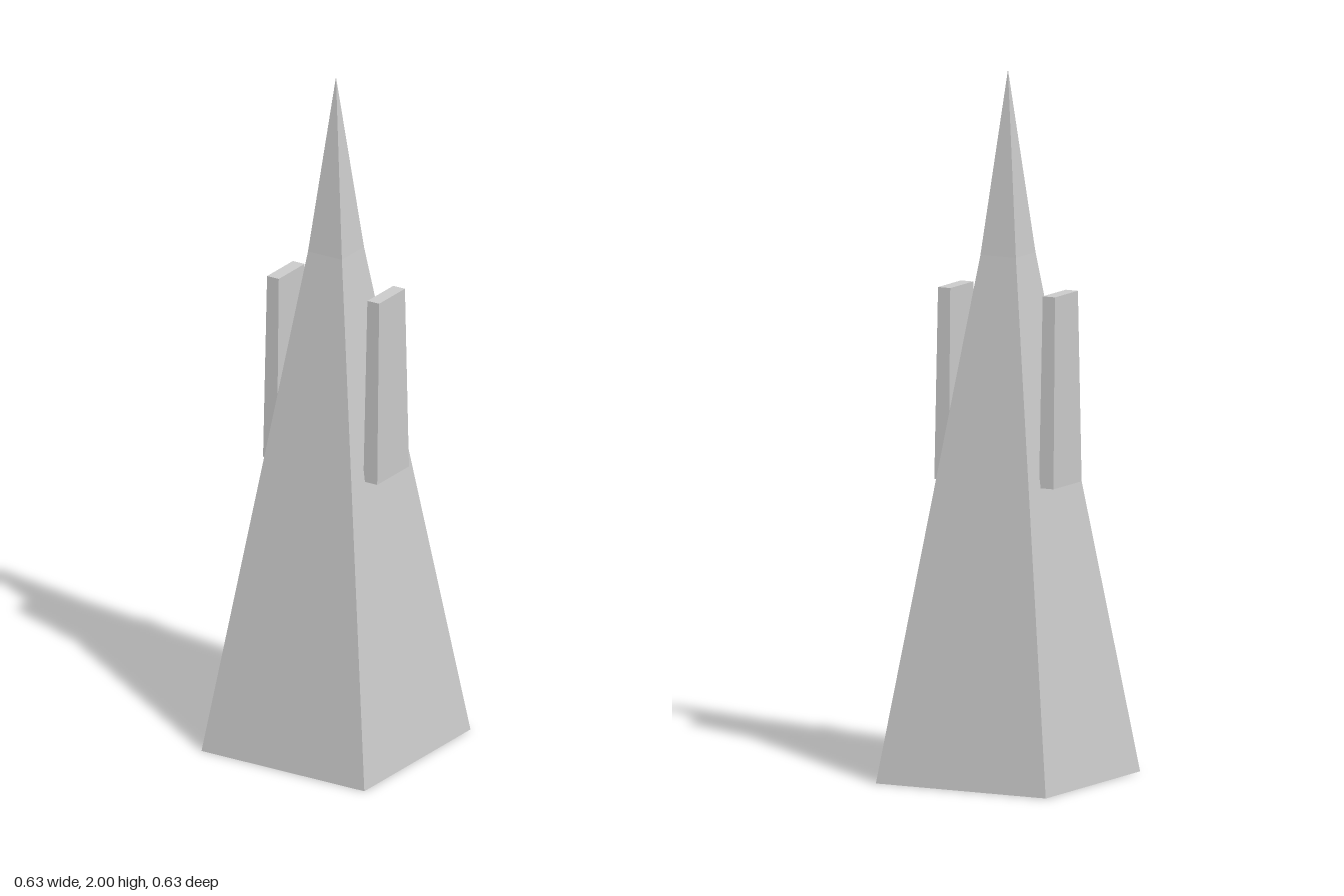
import * as THREE from 'three';

const material = new THREE.MeshStandardMaterial({ color: 0xcccccc, flatShading: true });

// Square frustum standing on y = 0: base and top sizes along x and z
function frustum(name, height, baseX, baseZ, topX, topZ) {
  const geometry = new THREE.BoxGeometry(1, height, 1).translate(0, height / 2, 0);
  const p = geometry.attributes.position;
  for (let i = 0; i < p.count; i++) {
    const top = p.getY(i) > height / 2;
    p.setX(i, p.getX(i) * (top ? topX : baseX));
    p.setZ(i, p.getZ(i) * (top ? topZ : baseZ));
  }
  geometry.computeVertexNormals();
  const mesh = new THREE.Mesh(geometry, material);
  mesh.name = name;
  return mesh;
}

export function createModel() {
  const model = new THREE.Group();
  model.name = 'obelisk';

  const baseSide = 0.542, neckSide = 0.113, neckY = 1.48;

  // Tapering shaft
  model.add(frustum('shaft', neckY, baseSide, baseSide, neckSide, neckSide));

  // Steeper pointed tip
  const tipHeight = 2 - neckY;
  const tipGeometry = new THREE.ConeGeometry(neckSide / Math.SQRT2, tipHeight, 4, 1, true)
    .rotateY(Math.PI / 4);
  const tip = new THREE.Mesh(tipGeometry, material);
  tip.name = 'tip';
  tip.position.y = neckY + tipHeight / 2;
  model.add(tip);

  // Upright slabs on the two sides
  for (const side of [1, -1]) {
    const slab = frustum(side > 0 ? 'leftSlab' : 'rightSlab', 0.54, 0.046, 0.162, 0.039, 0.132);
    slab.position.set(side * 0.167, 0.84, 0);
    model.add(slab);
  }

  // The whole body is turned slightly about its axis
  model.rotation.y = -0.19;
  return model;
}
